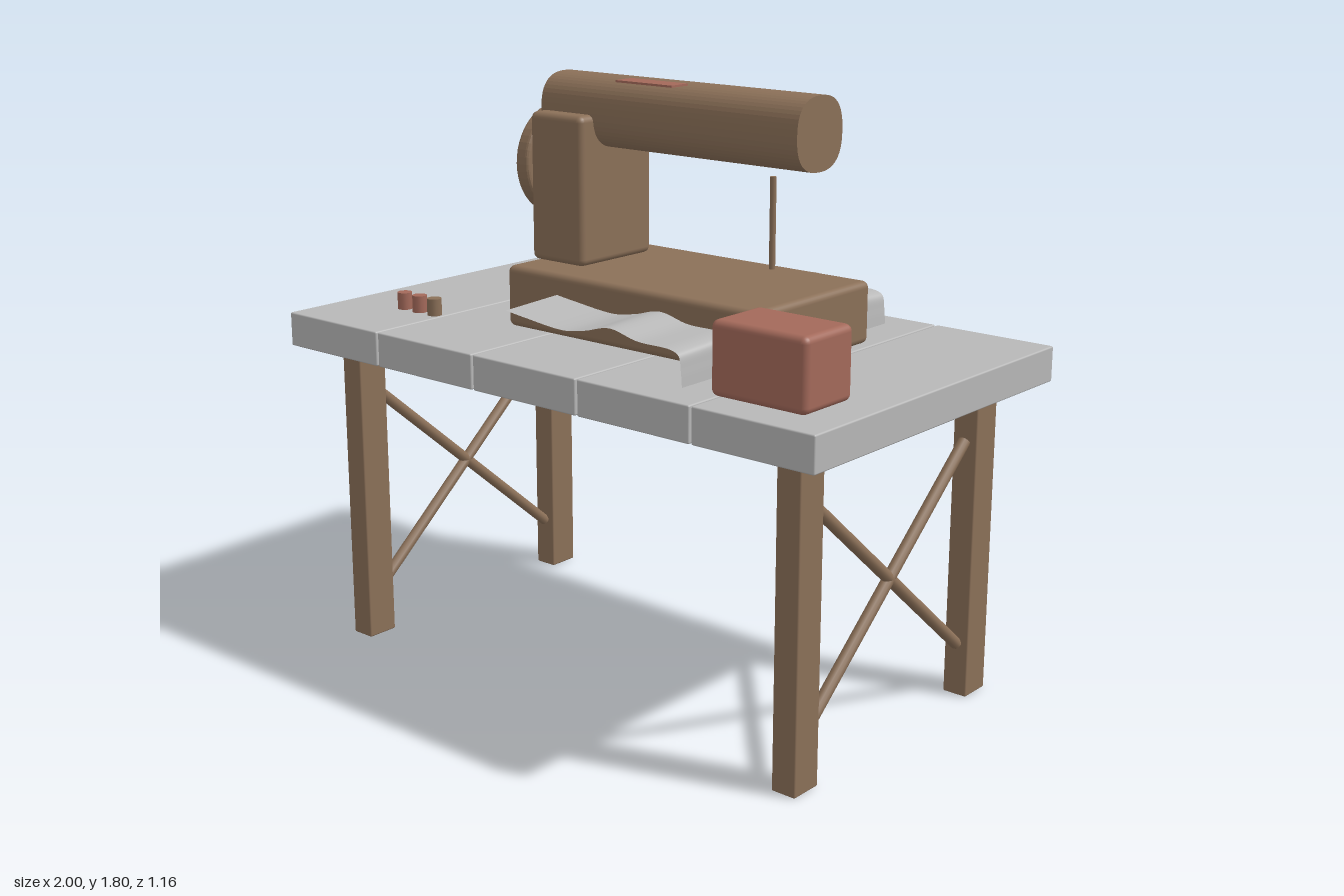
import * as THREE from 'three';
import { RoundedBoxGeometry } from 'three/addons/geometries/RoundedBoxGeometry.js';

const wood = new THREE.MeshStandardMaterial({ color: 0x8b7058 });
wood.name = 'brown';
const red = new THREE.MeshStandardMaterial({ color: 0xa3695a });
red.name = 'dusty red';
const grey = new THREE.MeshStandardMaterial({ color: 0xb8b8b8 });
grey.name = 'light grey';
const clothMat = new THREE.MeshStandardMaterial({ color: 0xb9b9b9, side: THREE.DoubleSide });
clothMat.name = 'cloth grey';

export function createModel() {
  const model = new THREE.Group();

  const add = (name, geometry, material, x = 0, y = 0, z = 0) => {
    const mesh = new THREE.Mesh(geometry, material);
    mesh.name = name;
    mesh.position.set(x, y, z);
    model.add(mesh);
    return mesh;
  };
  // Rounded box given by its min and max on each axis
  const box = (name, material, [x0, x1], [y0, y1], [z0, z1], r) =>
    add(name, new RoundedBoxGeometry(x1 - x0, y1 - y0, z1 - z0, 3, r), material,
      (x0 + x1) / 2, (y0 + y1) / 2, (z0 + z1) / 2);

  // Table top: five planks with narrow gaps
  for (let i = 0; i < 5; i++) {
    const x = -0.803 + i * 0.4015;
    box('plank', grey, [x - 0.197, x + 0.197], [0.955, 1.06], [-0.58, 0.58], 0.005);
  }

  // Legs and crossed braces at both ends
  for (const sx of [-1, 1]) {
    const x = sx * 0.845;
    for (const sz of [-1, 1]) {
      box('leg', wood, [x - 0.039, x + 0.039], [0, 0.955], [sz * 0.424 - 0.052, sz * 0.424 + 0.052], 0.005);
      const brace = add('brace', new THREE.CylinderGeometry(0.018, 0.018, 0.97, 12), wood, x, 0.478, 0);
      brace.rotation.x = sz * Math.atan2(0.735, 0.625);
    }
  }

  // Sewing machine: bed and pillar
  box('machineBed', wood, [-0.37, 0.576], [1.06, 1.245], [-0.264, 0.264], 0.02);
  box('machinePillar', wood, [-0.37, -0.163], [1.247, 1.692], [-0.157, 0.157], 0.02);

  // Arm: squarish round section run along x
  const section = [];
  const squash = (v) => Math.sign(v) * Math.abs(v) ** 0.8;
  for (let i = 0; i < 48; i++) {
    const a = (i / 48) * Math.PI * 2;
    section.push(new THREE.Vector2(squash(Math.cos(a)) * 0.104, squash(Math.sin(a)) * 0.105));
  }
  const armGeometry = new THREE.ExtrudeGeometry(new THREE.Shape(section), { depth: 0.946, bevelEnabled: false });
  add('machineArm', armGeometry, wood, -0.37, 1.695, 0).rotation.y = Math.PI / 2;

  // Hand wheel with a softened rim
  const wheel = new THREE.Shape().absarc(0, 0, 0.156, 0, Math.PI * 2);
  const wheelGeometry = new THREE.ExtrudeGeometry(wheel, {
    depth: 0.028, bevelThickness: 0.012, bevelSize: 0.012, bevelSegments: 3, curveSegments: 24,
  });
  add('handWheel', wheelGeometry, wood, -0.41, 1.532, 0).rotation.y = Math.PI / 2;

  // Needle bar and the plate on top of the arm
  add('needle', new THREE.CylinderGeometry(0.009, 0.009, 0.262, 12), wood, 0.42, 1.431, 0);
  add('topPlate', new THREE.BoxGeometry(0.21, 0.006, 0.07), red, 0.05, 1.801, 0.09);

  // Cloth: wavy sheet under the needle, hanging down at one side
  const profile = new THREE.CatmullRomCurve3([
    [-0.165, 1.175], [-0.09, 1.166], [0.06, 1.153], [0.14, 1.165], [0.23, 1.186],
    [0.33, 1.166], [0.45, 1.162], [0.476, 1.15], [0.484, 1.11], [0.488, 1.065],
  ].map(([x, y]) => new THREE.Vector3(x, y, 0)));
  const cloth = new THREE.PlaneGeometry(1, 1, 60, 12).rotateX(-Math.PI / 2);
  const pos = cloth.attributes.position;
  for (let i = 0; i < pos.count; i++) {
    const p = profile.getPoint(pos.getX(i) + 0.5);
    const z = pos.getZ(i) * 0.95;
    const lift = 0.02 * (1 - Math.abs(z) / 0.475) * Math.min(1, Math.max(0, (p.y - 1.065) / 0.08));
    pos.setXYZ(i, p.x, p.y + lift, z);
  }
  cloth.computeVertexNormals();
  add('cloth', cloth, clothMat);

  // Sewing box and thread spools
  box('sewingBox', red, [0.58, 0.892], [1.06, 1.267], [0.267, 0.475], 0.02);
  [-0.77, -0.703, -0.637].forEach((x, i) =>
    add('spool', new THREE.CylinderGeometry(0.023, 0.023, 0.053, 12), i < 2 ? red : wood, x, 1.086, 0.313));

  return model;
}
